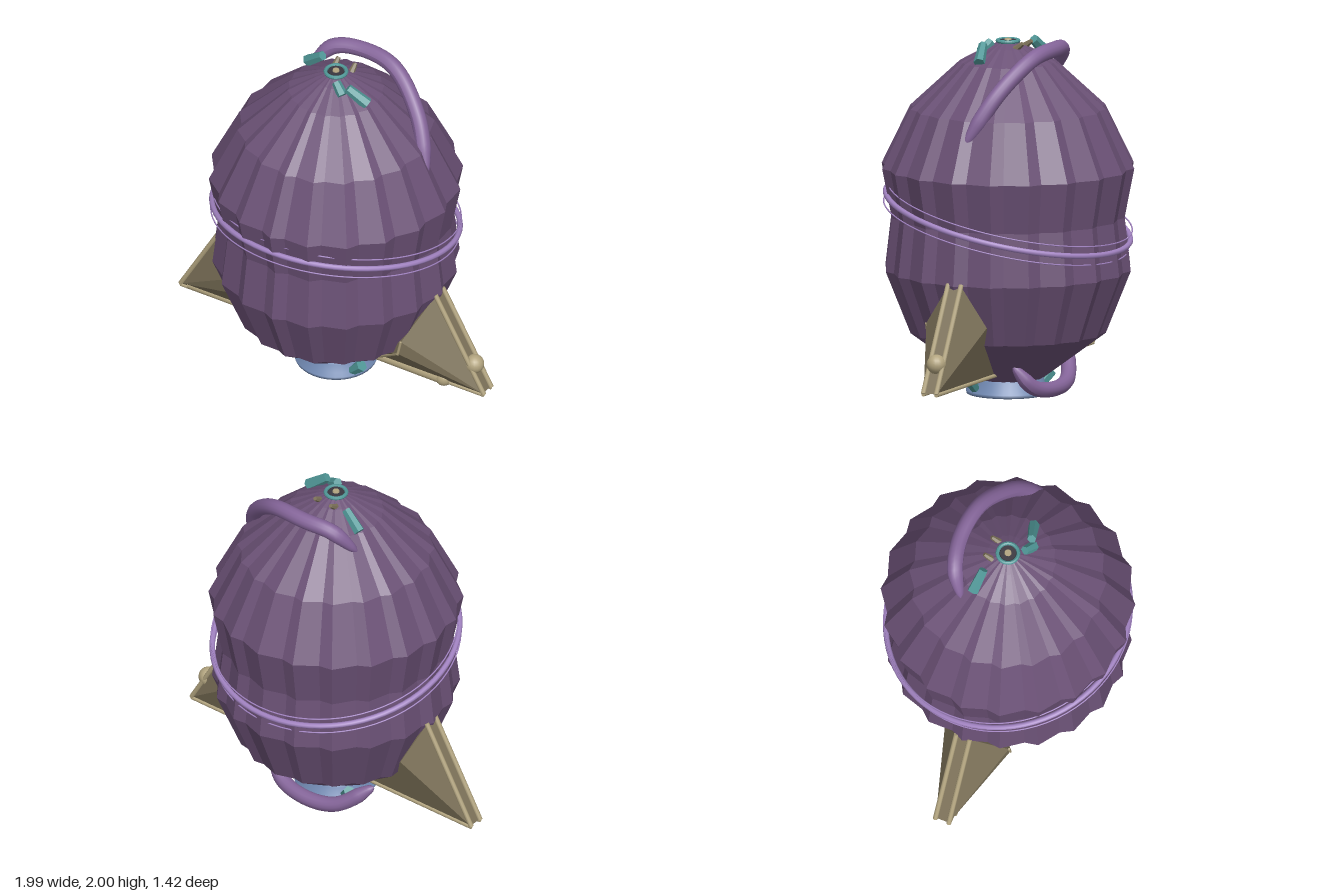
import * as THREE from 'three';
import { ConvexGeometry } from 'three/addons/geometries/ConvexGeometry.js';

const V = (x, y, z) => new THREE.Vector3(x, y, z);

function material(name, color, options = {}) {
  const m = new THREE.MeshStandardMaterial({ color, ...options });
  m.name = name;
  return m;
}

export function createModel() {
  const model = new THREE.Group();
  const purple = material('body purple', 0x6b5176, { flatShading: true });
  const violet = material('vine violet', 0x85659a);
  const lilac = material('ring lilac', 0xa283c2);
  const olive = material('fin olive', 0x7e735a, { flatShading: true });
  const bone = material('bone', 0xb3a580);
  const teal = material('leaf teal', 0x4f9696, { flatShading: true });
  const blue = material('base blue', 0x7189b2, { side: THREE.DoubleSide });
  const dark = material('dark hollow', 0x39373f, { side: THREE.DoubleSide });

  function add(name, geometry, mat, position) {
    const mesh = new THREE.Mesh(geometry, mat);
    mesh.name = name;
    if (position) mesh.position.copy(position);
    model.add(mesh);
    return mesh;
  }

  // A round or flattened rod running from a to b
  function rod(name, a, b, r0, r1, mat, sides = 12, flat = 1) {
    const geometry = new THREE.CylinderGeometry(r1, r0, a.distanceTo(b), sides);
    geometry.scale(1, 1, flat);
    const mesh = add(name, geometry, mat, a.clone().lerp(b, 0.5));
    mesh.quaternion.setFromUnitVectors(V(0, 1, 0), b.clone().sub(a).normalize());
    return mesh;
  }

  // A curved tube that thins toward both ends
  function taperedTube(name, points, radius, mat) {
    const curve = new THREE.CatmullRomCurve3(points);
    const rings = 48, sides = 14;
    const geometry = new THREE.TubeGeometry(curve, rings, radius, sides);
    const pos = geometry.attributes.position, p = new THREE.Vector3();
    for (let i = 0; i <= rings; i++) {
      const t = i / rings, centre = curve.getPointAt(t);
      const size = Math.min(1, 0.12 + Math.sqrt(6 * Math.min(t, 1 - t)));
      for (let j = 0; j <= sides; j++) {
        const k = i * (sides + 1) + j;
        p.fromBufferAttribute(pos, k).sub(centre).multiplyScalar(size).add(centre);
        pos.setXYZ(k, p.x, p.y, p.z);
      }
    }
    geometry.computeVertexNormals();
    return add(name, geometry, mat);
  }

  // Pleated body: twenty cusps, each followed by a narrow steep facet
  const profile = [[0, 0.09], [0.2, 0.09], [0.55, 0.35], [0.69, 0.7], [0.655, 1], [0.71, 1.28],
    [0.55, 1.61], [0.27, 1.87], [0.12, 1.95], [0.05, 1.98], [0, 1.98]];
  const segments = 40;
  const bodyGeometry = new THREE.LatheGeometry(profile.map(([r, y]) => new THREE.Vector2(r, y)), segments);
  const bodyPos = bodyGeometry.attributes.position;
  for (let i = 0; i <= segments; i++) {
    const odd = i % 2 === 1;
    const shift = odd ? (i < segments / 2 ? -0.05 : 0.05) : 0;
    const angle = (i / segments) * Math.PI * 2 + shift;
    profile.forEach(([r, y], j) => {
      const radius = r * (odd ? 0.957 : 1);
      bodyPos.setXYZ(i * profile.length + j, Math.sin(angle) * radius, y, Math.cos(angle) * radius);
    });
  }
  add('pleatedBody', bodyGeometry, purple);

  // Tilted belt: one thick ring between two thin ones
  const belt = new THREE.Group();
  belt.name = 'belt';
  belt.position.y = 1.0;
  belt.rotation.x = -0.225;
  for (const [y, radius, tube] of [[0, 0.695, 0.016], [0.055, 0.695, 0.004], [-0.055, 0.695, 0.004]]) {
    const ring = new THREE.Mesh(new THREE.TorusGeometry(radius, tube, 8, 72), lilac);
    ring.name = 'beltRing';
    ring.rotation.x = Math.PI / 2;
    ring.position.y = y;
    belt.add(ring);
  }
  model.add(belt);

  // Side fins with a grooved outer edge and trim
  for (const s of [1, -1]) {
    const front = V(s * 0.54, 0.37, 0.23), upperFront = V(s * 0.56, 0.46, 0.23);
    const back = V(s * 0.57, 0.46, -0.15);
    const corners = [front, upperFront, back];
    for (const z of [0.04, -0.04]) {
      corners.push(V(s * 0.98, 0.14, z), V(s * 0.67, 0.7, z), V(s * 0.2, 0.14, z));
      rod('finEdge', V(s * 0.985, 0.14, z), V(s * 0.67, 0.71, z), 0.014, 0.014, bone, 8);
      rod('finLowerEdge', V(s * 0.985, 0.135, z), V(s * 0.2, 0.135, z), 0.012, 0.012, bone, 8);
    }
    add('fin', new ConvexGeometry(corners), olive);
    rod('finTrim', V(s * 0.3, 0.14, 0.05), front, 0.008, 0.008, bone, 6);
    rod('finTrim', front, upperFront, 0.008, 0.008, bone, 6);
  }
  rod('lowerBar', V(-0.93, 0.155, 0.04), V(0.72, 0.15, 0.04), 0.026, 0.036, bone);
  add('barKnob', new THREE.SphereGeometry(0.05, 18, 12), bone, V(0.72, 0.15, 0.03));
  add('finKnob', new THREE.SphereGeometry(0.055, 18, 12), bone, V(0.9, 0.295, 0));

  // Arching vines above and below
  taperedTube('upperVine', [V(-0.28, 1.8, -0.17), V(-0.17, 1.93, -0.25), V(0, 1.955, -0.285),
    V(0.22, 1.93, -0.26), V(0.44, 1.75, -0.15), V(0.58, 1.47, -0.01)], 0.045, violet);
  taperedTube('lowerVine', [V(0.28, 0.2, -0.17), V(0.2, 0.08, -0.25), V(0.03, 0.045, -0.29),
    V(-0.2, 0.07, -0.27), V(-0.4, 0.22, -0.17)], 0.043, violet);

  // Flared hollow base
  const basePoints = [[0.13, 0.07], [0.18, 0.01], [0.23, 0], [0.235, 0.02], [0.21, 0.035], [0.2, 0.08], [0.18, 0.1]];
  add('base', new THREE.LatheGeometry(basePoints.map(([r, y]) => new THREE.Vector2(r, y)), 36), blue);
  add('baseHollow', new THREE.CircleGeometry(0.17, 32).rotateX(Math.PI / 2), dark, V(0, 0.055, 0));
  add('baseInnerRing', new THREE.TorusGeometry(0.085, 0.015, 8, 32).rotateX(Math.PI / 2), blue, V(0, 0.04, 0));
  add('baseStud', new THREE.SphereGeometry(0.035, 12, 8), bone, V(0, 0.05, 0));

  // Crown ring, centre and small horns
  add('crownRing', new THREE.TorusGeometry(0.058, 0.011, 8, 32).rotateX(Math.PI / 2), teal, V(0, 1.985, 0));
  add('crownCentre', new THREE.CylinderGeometry(0.045, 0.05, 0.02, 20), dark, V(0, 1.98, 0));
  add('crownStud', new THREE.CylinderGeometry(0.018, 0.025, 0.02, 12), bone, V(0, 1.988, 0));
  for (const x of [-0.055, 0.055]) rod('horn', V(x, 1.94, -0.06), V(x, 1.985, -0.12), 0.022, 0.012, olive, 6);

  // Flat leaves around the crown and base
  const leaves = [
    [V(-0.14, 1.98, -0.09), V(-0.25, 1.89, -0.11)],
    [V(0.05, 1.98, 0.08), V(0.11, 1.93, 0.11)],
    [V(0.13, 1.975, 0.09), V(0.24, 1.89, 0.06)],
    [V(-0.2, 0.02, 0.11), V(-0.31, 0.11, 0.12)],
    [V(0.17, 0.03, 0.11), V(0.24, 0.1, 0.12)],
    [V(-0.15, 0.02, -0.12), V(-0.22, 0.1, -0.16)],
  ];
  for (const [a, b] of leaves) rod('leaf', a, b, 0.028, 0.036, teal, 6, 0.9);

  return model;
}
